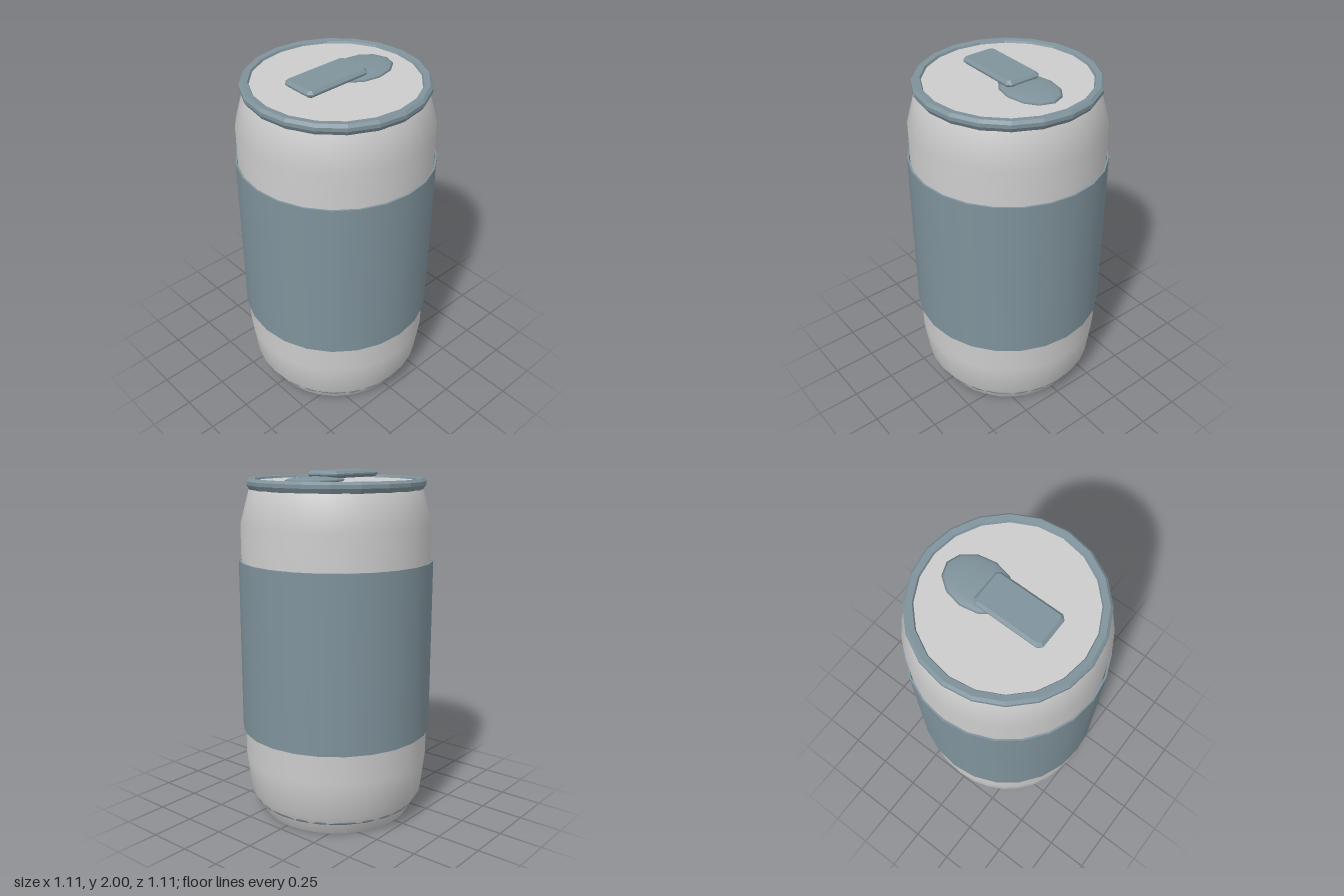
import * as THREE from 'three';

const grey = new THREE.MeshStandardMaterial({ color: 0xcccccc });
const blue = new THREE.MeshStandardMaterial({ color: 0x7f929b });
const blueFlat = new THREE.MeshStandardMaterial({ color: 0x7f929b, flatShading: true });

const lathe = (points, sides) =>
  new THREE.LatheGeometry(points.map(([r, y]) => new THREE.Vector2(r, y)), sides);

export function createModel() {
  const model = new THREE.Group();
  const add = (name, geometry, material, x = 0, y = 0, z = 0) => {
    const mesh = new THREE.Mesh(geometry, material);
    mesh.name = name;
    mesh.position.set(x, y, z);
    model.add(mesh);
    return mesh;
  };

  // Can body: tapered foot, straight wall, tapered shoulder
  add('body', lathe([
    [0.44, 0], [0.515, 0.13], [0.54, 0.34], [0.54, 1.71], [0.488, 1.9], [0.46, 1.92],
  ], 32), grey);
  add('base', new THREE.CircleGeometry(0.44, 32), grey).rotation.x = Math.PI / 2;
  add('lid', new THREE.CircleGeometry(0.47, 40), grey, 0, 1.945).rotation.x = -Math.PI / 2;

  // Thin ring just breaking through the foot
  add('footRing', new THREE.TorusGeometry(0.473, 0.02, 8, 24), blue, 0, 0.09)
    .rotation.x = Math.PI / 2;

  // Sleeve around the middle, with a thin wall
  const wall = [[0.555, 0.51], [0.555, 1.505], [0.545, 1.505], [0.545, 0.51], [0.555, 0.51]];
  const names = ['sleeveOuter', 'sleeveTopEdge', 'sleeveInner', 'sleeveBottomEdge'];
  names.forEach((name, i) => add(name, lathe([wall[i], wall[i + 1]], 24), blue));

  // Faceted rim around the lid
  add('rim', lathe([
    [0.455, 1.9], [0.49, 1.9], [0.505, 1.925], [0.505, 1.945],
    [0.49, 1.96], [0.458, 1.957], [0.452, 1.945], [0.455, 1.9],
  ], 20), blueFlat);

  // Flattened oval over the mouth
  add('mouth', new THREE.SphereGeometry(1, 12, 8), blue, 0, 1.952, -0.18)
    .scale.set(0.145, 0.02, 0.195);

  // Pull tab: chamfered plate
  const w = 0.09, d = 0.19, c = 0.012, bevel = 0.015;
  const plate = new THREE.Shape([
    [-w + c, -d], [w - c, -d], [w, -d + c], [w, d - c],
    [w - c, d], [-w + c, d], [-w, d - c], [-w, -d + c],
  ].map(([x, y]) => new THREE.Vector2(x, y)));
  const tab = new THREE.ExtrudeGeometry(plate, {
    depth: 0.008, bevelEnabled: true, bevelThickness: bevel, bevelSize: bevel, bevelSegments: 1,
  });
  tab.rotateX(-Math.PI / 2);
  add('pullTab', tab, blueFlat, 0, 1.977, 0.065);

  return model;
}
